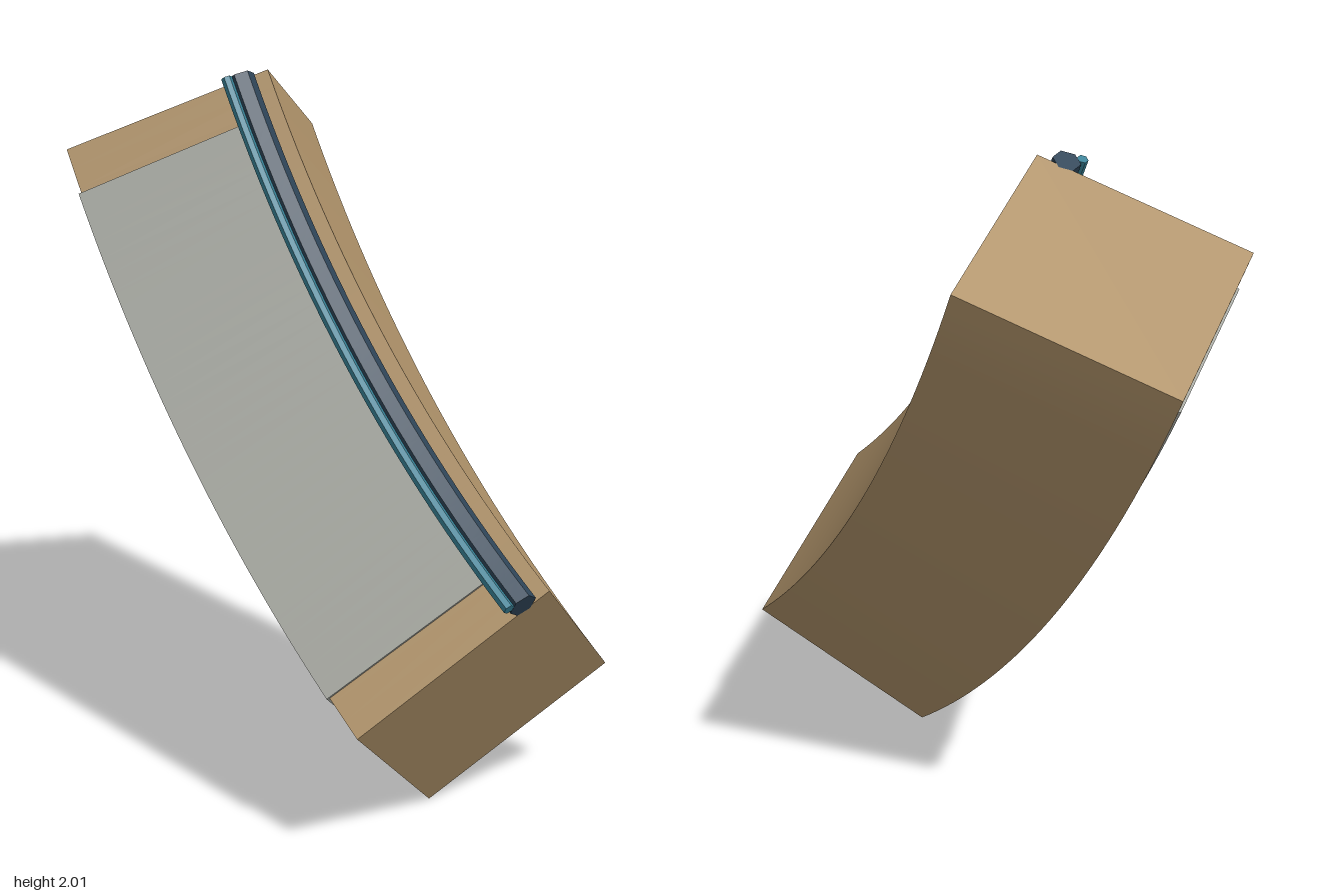
import * as THREE from 'three';
import { toCreasedNormals } from 'three/addons/utils/BufferGeometryUtils.js';

// Shared arc centre; every part is swept around it.
const CX = 3.01, CY = 4.01, Z_SHIFT = -0.005;
const MID_ANGLE = Math.PI / 4;

// Sweeps a closed counter-clockwise (radius, z) profile along the arc, with end caps.
function sweepArc(profile, halfDegrees, segments = 32) {
  const n = profile.length;
  const half = THREE.MathUtils.degToRad(halfDegrees);
  const positions = [], index = [];
  for (let i = 0; i <= segments; i++) {
    const a = MID_ANGLE - half + (2 * half * i) / segments;
    for (const [r, z] of profile) {
      positions.push(CX - r * Math.cos(a), CY - r * Math.sin(a), z + Z_SHIFT);
    }
  }
  for (let i = 0; i < segments; i++) {
    for (let j = 0; j < n; j++) {
      const k = (j + 1) % n;
      const a = i * n + j, b = i * n + k;
      index.push(a, a + n, b, b, a + n, b + n);
    }
  }
  const outline = profile.map(([r, z]) => new THREE.Vector2(r, z));
  const last = segments * n;
  for (const [a, b, c] of THREE.ShapeUtils.triangulateShape(outline, [])) {
    index.push(a, b, c, last + a, last + c, last + b);
  }
  const geometry = new THREE.BufferGeometry();
  geometry.setAttribute('position', new THREE.Float32BufferAttribute(positions, 3));
  geometry.setIndex(index);
  return toCreasedNormals(geometry, 0.35);
}

// Regular polygon profile with a corner pointing at the arc centre.
function polygon(r, z, radius, sides) {
  return Array.from({ length: sides }, (_, i) => {
    const a = Math.PI + (2 * Math.PI * i) / sides;
    return [r + radius * Math.cos(a), z + radius * Math.sin(a)];
  });
}

export function createModel() {
  const material = (name, color) => {
    const m = new THREE.MeshStandardMaterial({ color });
    m.name = name;
    return m;
  };
  const tan = material('tan', 0xb0936a);
  const grey = material('warmGrey', 0xa3a59e);
  const navy = material('darkBlue', 0x2e4457);
  const teal = material('teal', 0x388196);

  const model = new THREE.Group();
  model.name = 'curvedSegment';
  const add = (name, geometry, mat) => {
    const mesh = new THREE.Mesh(geometry, mat);
    mesh.name = name;
    model.add(mesh);
  };

  // Solid body, a square section standing on its corner
  add('body', sweepArc([[3.82, 0], [4.27, -0.45], [4.72, 0], [4.27, 0.45]], 13.25), tan);

  // Thin panel folded over the two front faces
  add('frontPanel', sweepArc([
    [3.89, 0.07], [4.27, 0.45], [4.638, 0.082],
    [4.638, 0.092], [4.27, 0.46], [3.89, 0.08],
  ], 11.35), grey);

  // Hexagonal rail along the inner edge, with a thin strip on its front
  add('rail', sweepArc(polygon(3.855, 0.075, 0.04, 6), 13.25), navy);
  add('railStrip', sweepArc(polygon(3.855, 0.124, 0.016, 6), 13.25), teal);

  return model;
}
